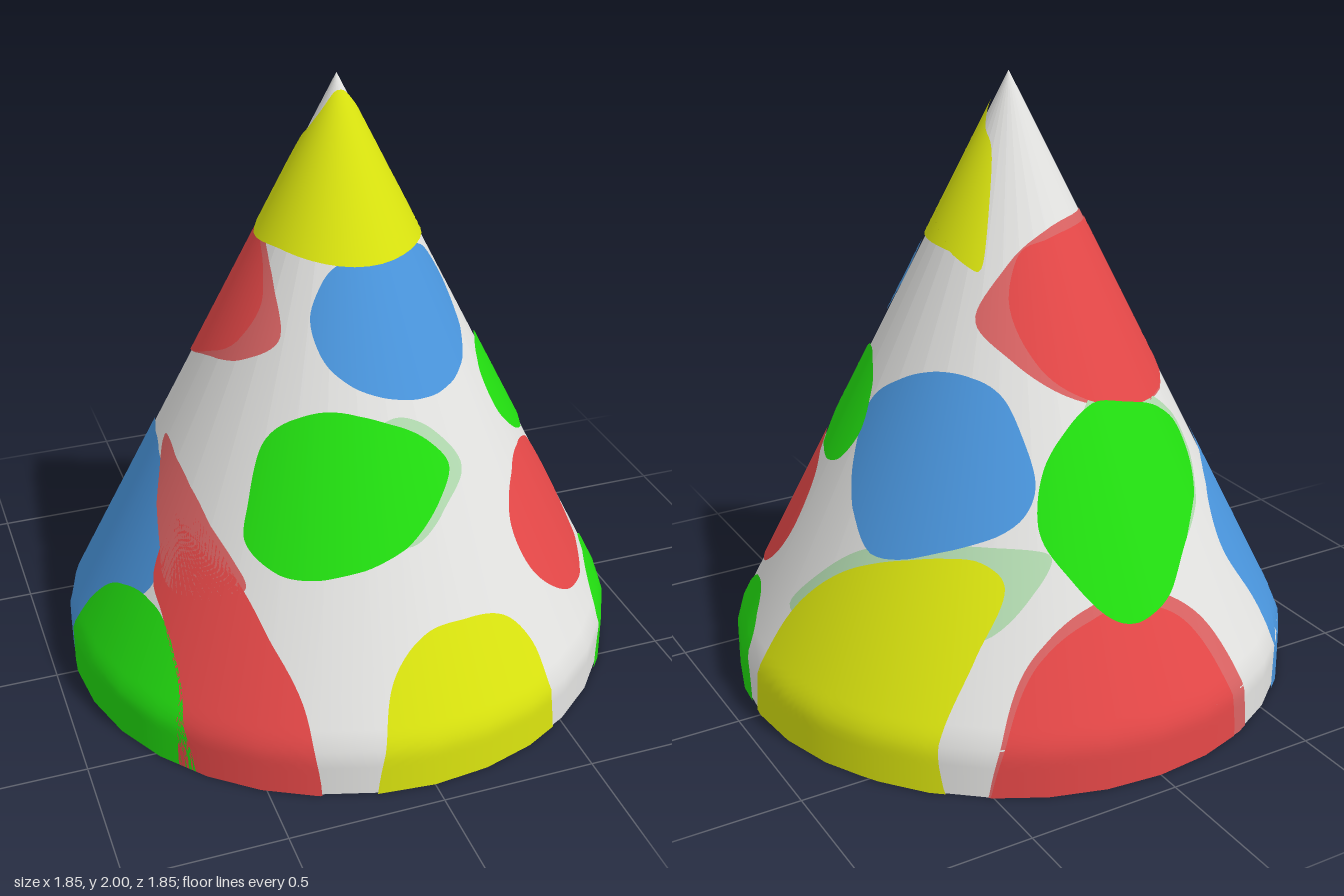
import * as THREE from 'three';

const SIDES = 32, STEP = (Math.PI * 2) / SIDES, R = 0.92, RIM = 0.16, TOP = 2;
const LAYERS = [0.003, 0.0055, 0.0085]; // halo, spot, overlapping spot

function paint(name, color) {
  const m = new THREE.MeshStandardMaterial({ color });
  m.name = name;
  return m;
}

// Point and normal on the faceted hat wall at angle t (0 = front, 90 deg = +x) and height y
function wallPoint(t, y, lift, pos, nor) {
  const h = Math.min(Math.max(y, 0), TOP);
  const local = t - Math.floor(t / STEP) * STEP - STEP / 2;
  const r = Math.min(R, 1 - h / 2) * Math.cos(STEP / 2) / Math.cos(local);
  const k = THREE.MathUtils.smoothstep(h, 0.1, 0.22);
  const n = new THREE.Vector3(Math.sin(t), 0.5 * k, Math.cos(t)).normalize();
  nor.push(n.x, n.y, n.z);
  pos.push(r * Math.sin(t) + n.x * lift, h + n.y * lift, r * Math.cos(t) + n.z * lift);
}

// A thin painted patch hugging the wall; outline is [degrees, height] pairs
function spot(group, name, material, layer, outline) {
  const N = 96, RINGS = 20, SCALE = 60;
  const curve = new THREE.CatmullRomCurve3(
    outline.map(([a, y]) => new THREE.Vector3(a, y * SCALE, 0)), true, 'centripetal');
  const pts = curve.getPoints(N).slice(0, N);
  if (THREE.ShapeUtils.isClockWise(pts)) pts.reverse();
  const c = pts.reduce((s, p) => s.add(p), new THREE.Vector3()).divideScalar(N);
  const pos = [], nor = [], idx = [];
  for (let i = 0; i <= RINGS; i++) {
    for (let j = 0; j < N; j++) {
      const p = c.clone().lerp(pts[j], i / RINGS);
      wallPoint(THREE.MathUtils.degToRad(p.x), p.y / SCALE, LAYERS[layer], pos, nor);
      if (i === RINGS) continue;
      const a = i * N + j, b = i * N + (j + 1) % N;
      idx.push(a, a + N, b + N);
      if (i > 0) idx.push(a, b + N, b);
    }
  }
  const g = new THREE.BufferGeometry();
  g.setAttribute('position', new THREE.Float32BufferAttribute(pos, 3));
  g.setAttribute('normal', new THREE.Float32BufferAttribute(nor, 3));
  g.setIndex(idx);
  const mesh = new THREE.Mesh(g, material);
  mesh.name = name;
  group.add(mesh);
}

// A flat patch under the hat: an arc of the rim joined to inner [x, z] points
function basePatch(group, name, material, from, to, inner) {
  const pts = [];
  for (let i = 0; i <= 12; i++) {
    const t = THREE.MathUtils.degToRad(from + (to - from) * i / 12);
    pts.push(new THREE.Vector2(Math.sin(t), Math.cos(t)).multiplyScalar(R * 0.995));
  }
  inner.forEach(([x, z]) => pts.push(new THREE.Vector2(x, z)));
  const mesh = new THREE.Mesh(new THREE.ShapeGeometry(new THREE.Shape(pts)), material);
  mesh.name = name;
  mesh.rotation.x = Math.PI / 2;
  group.add(mesh);
}

export function createModel() {
  const hat = new THREE.Group();
  hat.name = 'partyHat';
  const white = paint('white', 0xe4e4e2), red = paint('red', 0xe64848);
  const yellow = paint('yellow', 0xdce60f), green = paint('green', 0x22e010);
  const blue = paint('blue', 0x4a96de);
  const paleGreen = paint('paleGreen', 0xb2dab0), paleRed = paint('paleRed', 0xdb6464);

  // Cone with a short upright rim
  const profile = [[R, 0], [R, 0.1], [R, RIM], [0.89, 0.22], [0.85, 0.3], [0, TOP]];
  const wall = new THREE.Mesh(
    new THREE.LatheGeometry(profile.map(([x, y]) => new THREE.Vector2(x, y)), SIDES), white);
  wall.name = 'coneWall';
  hat.add(wall);

  // Closed underside
  const base = new THREE.Mesh(new THREE.CircleGeometry(R, SIDES), white);
  base.name = 'base';
  base.rotation.x = Math.PI / 2;
  base.position.y = 0.004;
  hat.add(base);

  const spots = new THREE.Group();
  spots.name = 'spots';
  hat.add(spots);
  const add = (...args) => spot(spots, ...args);
  const B = -0.15; // runs past the bottom edge, cut off at the rim

  // Faded edges beneath some spots
  add('upperRedHalo', paleRed, 0, [[133, 1.31], [150, 1.46], [180, 1.545], [225, 1.565], [270, 1.53],
    [300, 1.41], [313, 1.27], [297, 1.18], [270, 1.12], [225, 1.0], [180, 1.06], [150, 1.2]]);
  add('frontGreenHalo', paleGreen, 0, [[-20, 0.9], [0, 1.05], [16, 1.0], [24, 0.88], [14, 0.78], [0, 0.7]]);
  add('backGreenHalo', paleGreen, 0, [[224, 0.78], [227, 0.88], [218, 0.99], [198, 1.05], [180, 1.06],
    [170, 0.8], [190, 0.6], [205, 0.62]]);
  add('sideYellowHalo', paleGreen, 0, [[91, 0.38], [103, 0.57], [118, 0.66], [150, 0.69], [161, 0.66],
    [156, 0.57], [145, 0.45], [120, 0.4]]);
  add('leftRedHalo', paleRed, 2, [[318, 0.58], [302, 0.73], [288, 0.81], [269, 0.85], [277, 0.74],
    [288, 0.6], [297, 0.5]]);
  add('backRedHalo', paleRed, 0, [[203, B], [203, 0.2], [198, 0.4], [184, 0.53], [167, 0.51],
    [154, 0.38], [149, 0.2], [148, B]]);

  // Upper spots
  add('topYellowSpot', yellow, 2, [[-112, 1.51], [-60, 1.5], [0, 1.47], [60, 1.48], [115, 1.47], [133, 1.44],
    [134, 1.52], [128, 1.74], [100, 1.83], [45, 1.93], [0, 1.95], [-45, 1.93], [-90, 1.83], [-110, 1.76], [-116, 1.56]]);
  add('frontBlueSpot', blue, 1, [[-33, 1.34], [-29, 1.42], [-20, 1.475], [10, 1.48], [50, 1.48], [63, 1.42],
    [65, 1.34], [58, 1.22], [45, 1.13], [25, 1.085], [5, 1.1], [-15, 1.16], [-27, 1.24]]);
  add('backRedSpot', red, 1, [[150, 1.36], [155, 1.47], [180, 1.52], [225, 1.535], [265, 1.51], [288, 1.44],
    [297, 1.34], [290, 1.22], [270, 1.13], [235, 1.02], [205, 1.01], [180, 1.07], [162, 1.18]]);

  // Middle spots
  add('frontGreenSpot', green, 1, [[-45, 0.71], [-46, 0.8], [-45, 0.98], [-26, 1.08], [0, 1.04], [13.5, 0.97],
    [19, 0.89], [11, 0.79], [0, 0.7], [-17, 0.64], [-33, 0.63]]);
  add('sideGreenSpot', green, 2, [[53, 0.93], [54, 1.06], [70, 1.12], [88, 1.04], [92, 0.92], [87, 0.82],
    [76, 0.78], [62, 0.82]]);
  add('sideBlueSpot', blue, 1, [[90, 1.0], [103, 1.1], [126, 1.15], [147, 1.1], [154, 1.0], [158, 0.86],
    [154, 0.77], [133, 0.67], [113, 0.62], [103, 0.7], [94, 0.83]]);
  add('sideRedSpot', red, 1, [[36, 0.5], [35, 0.65], [46, 0.77], [60, 0.79], [74, 0.7], [76.5, 0.55],
    [71.5, 0.42], [60, 0.33], [47, 0.35]]);
  add('backGreenSpot', green, 2, [[221, 0.78], [201, 0.6], [187, 0.47], [176, 0.46], [165, 0.6], [158, 0.74],
    [161, 0.9], [180, 1.05], [198, 1.03], [215, 0.97], [223, 0.89]]);

  // Lower spots, cut by the bottom edge
  add('frontYellowSpot', yellow, 1, [[-9.5, B], [-9.5, 0.2], [-7, 0.35], [0, 0.45], [9, 0.47], [22.5, 0.43],
    [28, 0.32], [28.7, 0.17], [28.6, B]]);
  add('lowerGreenSpot', green, 1, [[54, B], [54, 0.15], [59, 0.25], [69, 0.32], [76, 0.3], [81.7, 0.2], [82.5, B]]);
  add('sideYellowSpot', yellow, 1, [[90, B], [90, 0.2], [93.5, 0.38], [104, 0.53], [120, 0.62], [143, 0.65],
    [149, 0.59], [143, 0.4], [137, 0.17], [137, B]]);
  add('lowerRedSpot', red, 1, [[198, B], [198, 0.25], [192, 0.42], [180, 0.5], [168, 0.48], [156, 0.38],
    [150, 0.2], [148, B]]);
  add('lowerBlueSpot', blue, 1, [[223, B], [222, 0.3], [217, 0.52], [222, 0.65], [235, 0.74], [252, 0.8],
    [268, 0.8], [280, 0.74], [290, 0.6], [291, 0.48], [278, 0.3], [270, 0.1], [268, B]]);
  add('leftRedSpot', red, 2, [[336, B], [335, 0.25], [324, 0.48], [313, 0.62], [300, 0.71], [291, 0.7],
    [290, 0.52], [298, 0.41], [307, 0.25], [311, B]]);
  add('leftGreenSpot', green, 2, [[268, B], [268, 0.2], [274, 0.36], [284, 0.43], [295, 0.43], [303, 0.35],
    [309, 0.2], [311, B]]);

  // The lower spots carry on under the hat towards the middle
  const under = new THREE.Group();
  under.name = 'basePatches';
  hat.add(under);
  basePatch(under, 'baseYellowSide', yellow, 89, 137, [[0.06, -0.4], [0.03, -0.2], [0.25, -0.01]]);
  basePatch(under, 'baseRedBack', red, 148, 204, [[0.07, -0.42]]);
  basePatch(under, 'baseBlue', blue, 210, 263, [[0.03, -0.36]]);
  basePatch(under, 'baseGreenLeft', green, 266, 310, [[-0.54, 0.37], [-0.25, 0.34], [0.12, 0.04], [0.01, -0.32]]);
  basePatch(under, 'baseRedFront', red, 311, 336, [[-0.34, 0.56], [-0.52, 0.4]]);
  basePatch(under, 'baseYellowFront', yellow, -10, 28, [[0.06, 0.1], [-0.25, 0.38], [-0.3, 0.52]]);
  basePatch(under, 'baseGreenSide', green, 54, 82, [[0.25, 0], [0.13, 0.04]]);

  return hat;
}
